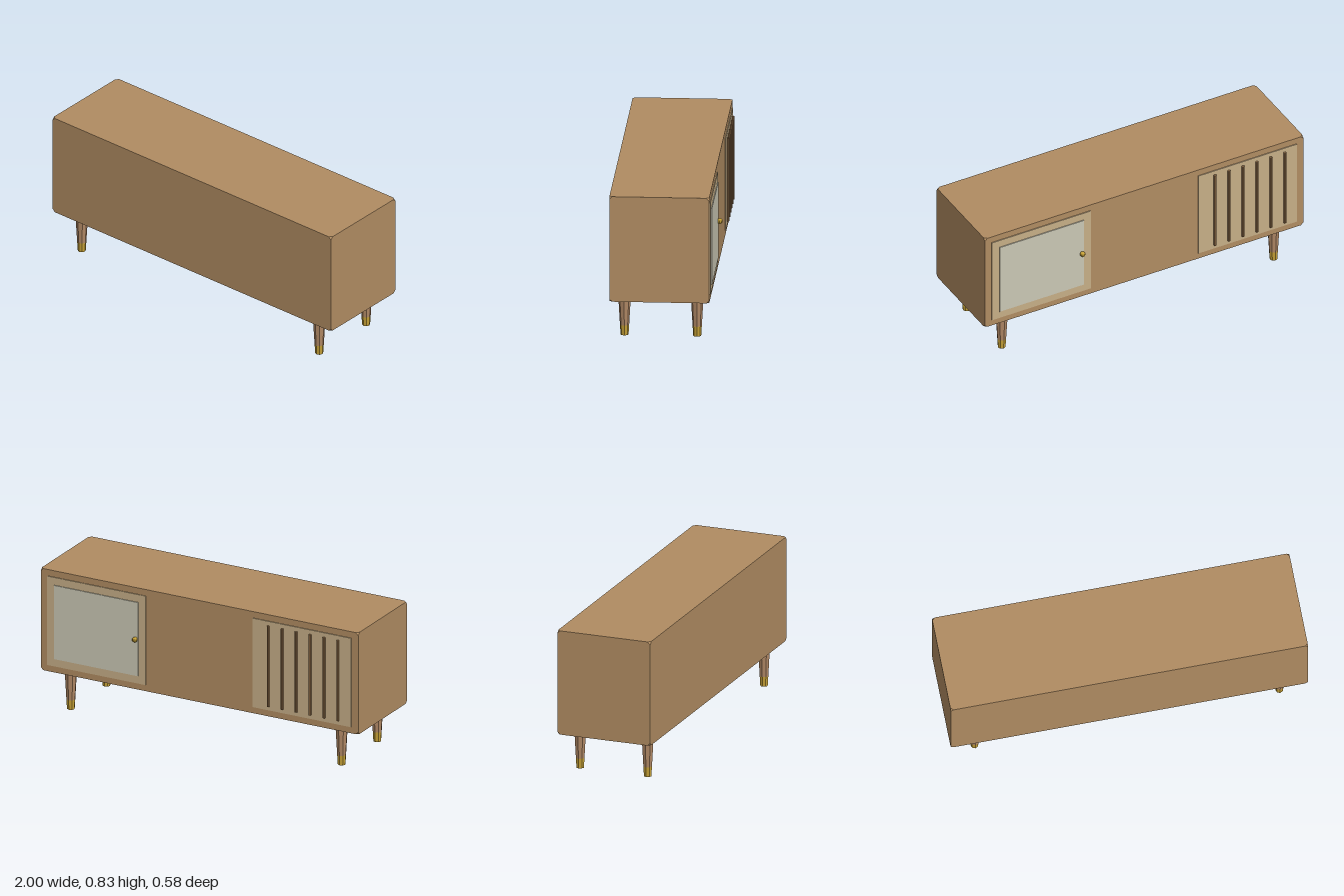
import * as THREE from 'three';
import { ConvexGeometry } from 'three/addons/geometries/ConvexGeometry.js';

const material = (name, color) => {
  const m = new THREE.MeshStandardMaterial({ color, flatShading: true });
  m.name = name;
  return m;
};

// Box with its eight corners cut off, edges left sharp
function cutCornerBox(w, h, d, cut) {
  const points = [];
  for (const sx of [-1, 1]) for (const sy of [-1, 1]) for (const sz of [-1, 1]) {
    const x = w / 2, y = h / 2, z = d / 2;
    points.push(
      new THREE.Vector3(sx * (x - cut), sy * y, sz * z),
      new THREE.Vector3(sx * x, sy * (y - cut), sz * z),
      new THREE.Vector3(sx * x, sy * y, sz * (z - cut)));
  }
  return new ConvexGeometry(points);
}

export function createModel() {
  const wood = material('wood', 0xb08c62);
  const legWood = material('leg wood', 0xb08865);
  const panelWood = material('pale panel', 0xc6ae87);
  const glass = material('door inset', 0xcac7b4);
  const slatWood = material('slat wood', 0x926f4a);
  const brass = material('brass', 0xc5a037);

  const model = new THREE.Group();
  model.name = 'sideboard';
  const add = (parent, name, geometry, mat, x, y, z) => {
    const mesh = new THREE.Mesh(geometry, mat);
    mesh.name = name;
    mesh.position.set(x, y, z);
    parent.add(mesh);
    return mesh;
  };

  const midY = 0.527;
  add(model, 'cabinet', cutCornerBox(2, 0.6, 0.55, 0.016), wood, 0, midY, 0.018);

  // Door with a pale inset and a knob
  const door = new THREE.Group();
  door.name = 'door';
  model.add(door);
  add(door, 'doorPanel', new THREE.BoxGeometry(0.62, 0.525, 0.008), panelWood, 0.647, midY, -0.258);
  add(door, 'doorInset', new THREE.BoxGeometry(0.53, 0.435, 0.006), glass, 0.647, midY, -0.264);
  add(door, 'doorKnob', new THREE.SphereGeometry(0.0155, 10, 8), brass, 0.397, midY, -0.2765);

  // Slatted panel
  const vent = new THREE.Group();
  vent.name = 'slattedPanel';
  model.add(vent);
  add(vent, 'ventPanel', new THREE.BoxGeometry(0.62, 0.525, 0.008), panelWood, -0.647, midY, -0.258);
  for (let i = 0; i < 6; i++) {
    add(vent, 'slat', new THREE.CylinderGeometry(0.008, 0.008, 0.475, 8), slatWood,
      -0.877 + i * 0.0876, midY, -0.268);
  }

  // Tapered legs with brass feet
  for (const x of [-0.853, 0.853]) for (const z of [0.2185, -0.1815]) {
    const leg = new THREE.Group();
    leg.name = 'leg';
    leg.position.set(x, 0, z);
    model.add(leg);
    add(leg, 'legShaft', new THREE.CylinderGeometry(0.034, 0.0255, 0.15, 8), legWood, 0, 0.132, 0);
    add(leg, 'legFoot', new THREE.CylinderGeometry(0.0255, 0.022, 0.057, 8), brass, 0, 0.0285, 0);
  }
  return model;
}
